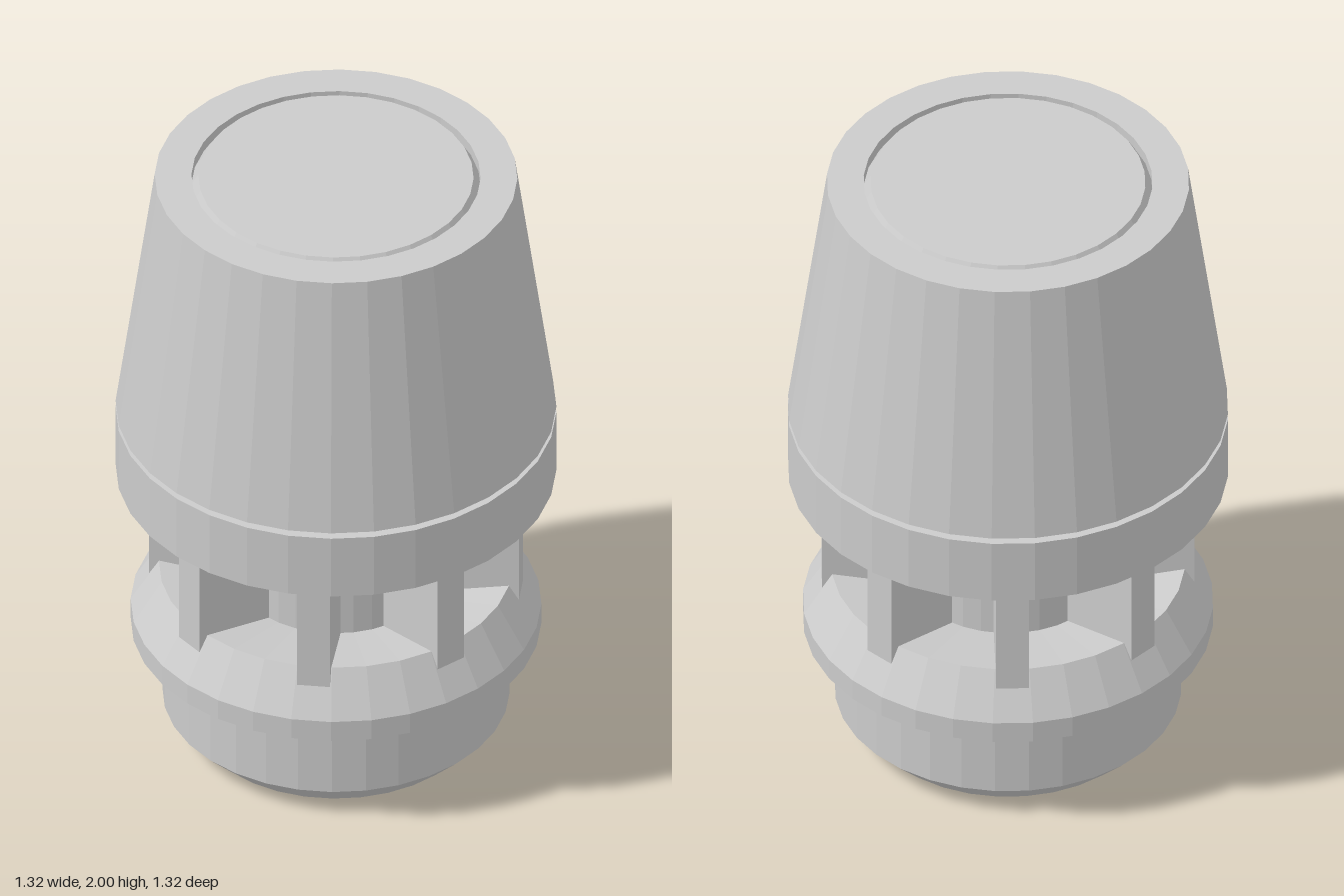
import * as THREE from 'three';

const SIDES = 32;
const material = new THREE.MeshStandardMaterial({ color: 0xcccccc, flatShading: true });

// Faceted turned part with a flat facing the front; profile runs up the outside and down the inside.
function turned(name, profile) {
  const points = profile.map(([r, y]) => new THREE.Vector2(r * 1.004, y));
  const mesh = new THREE.Mesh(new THREE.LatheGeometry(points, SIDES, Math.PI / SIDES), material);
  mesh.name = name;
  return mesh;
}

// Boxes repeated around the axis, each reaching from radius r0 to r1.
function radialBoxes(name, count, offset, r0, r1, y0, y1, width) {
  const group = new THREE.Group();
  group.name = name + 's';
  const geometry = new THREE.BoxGeometry(width, y1 - y0, r1 - r0);
  geometry.translate(0, (y0 + y1) / 2, (r0 + r1) / 2);
  for (let i = 0; i < count; i++) {
    const box = new THREE.Mesh(geometry, material);
    box.name = name;
    box.rotation.y = offset + (i * 2 * Math.PI) / count;
    group.add(box);
  }
  return group;
}

export function createModel() {
  const model = new THREE.Group();
  model.name = 'ventValve';

  // Lower plug, flange and hollow core, with a stepped bore open at the bottom
  model.add(turned('plugAndCore', [
    [0.345, 0], [0.43, 0], [0.52, 0.09], [0.52, 0.35],
    [0.615, 0.35], [0.615, 0.42], [0.53, 0.56],
    [0.3, 0.52], [0.3, 0.97],
    [0.26, 0.97], [0.26, 0.26], [0.285, 0.26], [0.285, 0.22],
    [0.315, 0.22], [0.315, 0.03], [0.345, 0.03], [0.345, 0],
  ]));

  // Vent ribs between flange and collar
  model.add(radialBoxes('ventRib', 8, 0, 0.285, 0.56, 0.495, 0.97, 0.1));

  // Small stops inside the bore
  model.add(radialBoxes('boreStop', 4, 0, 0.295, 0.32, 0.09, 0.22, 0.04));

  // Collar, shadow gap and tapered cap with a grooved top
  model.add(turned('collarAndCap', [
    [0, 0.97], [0.61, 0.97], [0.61, 0.92], [0.66, 0.92], [0.66, 1.135],
    [0.6, 1.135], [0.6, 1.155], [0.66, 1.155], [0.543, 2],
    [0.433, 2], [0.433, 1.965], [0.412, 2], [0, 2],
  ]));

  return model;
}
